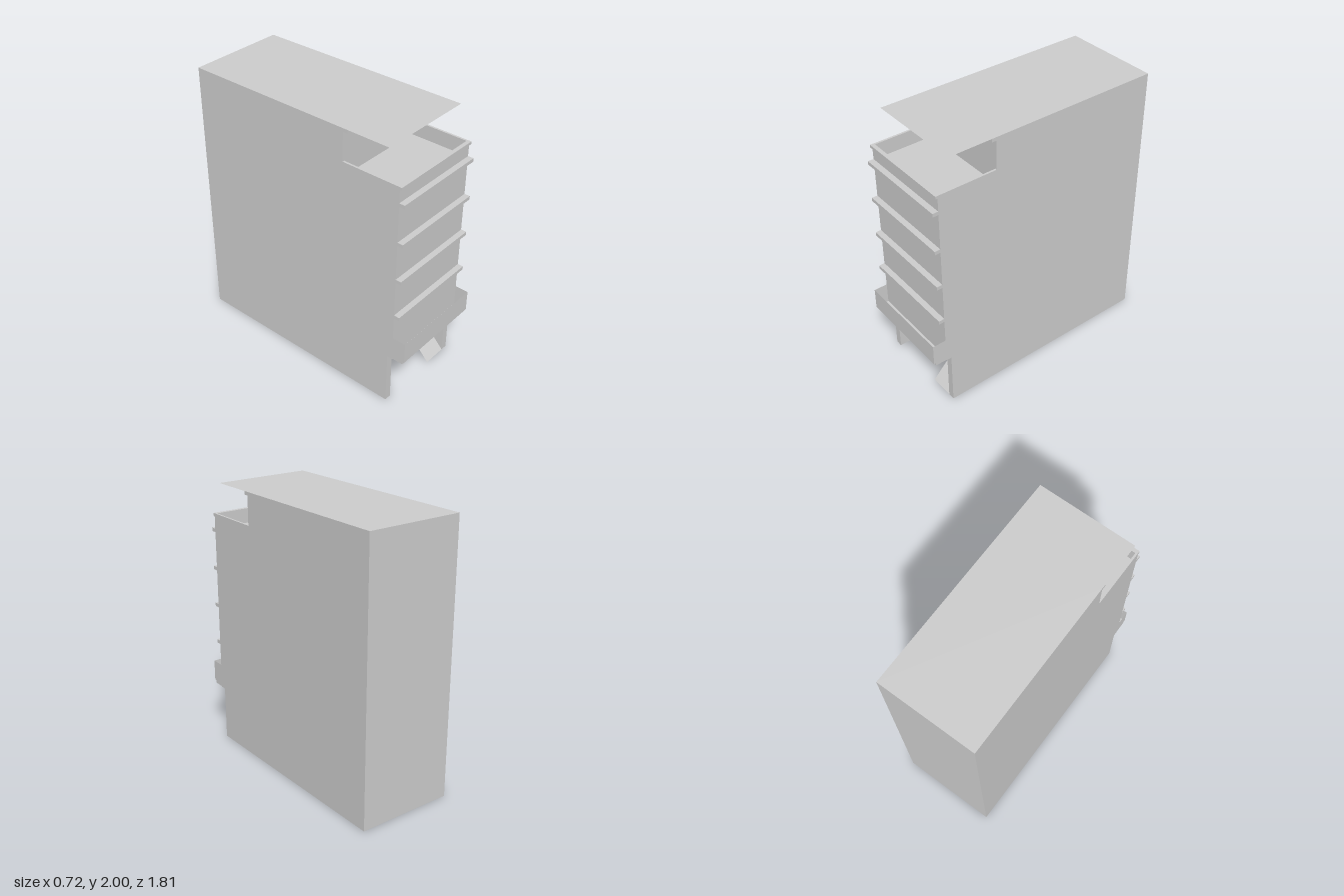
import * as THREE from 'three';

const W = 0.36; // half width of the building
const BACK = -0.905;

export function createModel() {
  const model = new THREE.Group();
  const grey = new THREE.MeshStandardMaterial({ color: 0xcccccc, flatShading: true });
  const thin = new THREE.MeshStandardMaterial({ color: 0xcccccc, flatShading: true, side: THREE.DoubleSide });

  // box from its limits along each axis
  function box(name, x0, x1, y0, y1, z0, z1) {
    const mesh = new THREE.Mesh(new THREE.BoxGeometry(x1 - x0, y1 - y0, z1 - z0), grey);
    mesh.position.set((x0 + x1) / 2, (y0 + y1) / 2, (z0 + z1) / 2);
    mesh.name = name;
    model.add(mesh);
  }

  // thin sheet: centre, size and tilt
  function sheet(name, w, h, position, rotation = [0, 0, 0]) {
    const mesh = new THREE.Mesh(new THREE.PlaneGeometry(w, h), thin);
    mesh.position.set(...position);
    mesh.rotation.set(...rotation);
    mesh.name = name;
    model.add(mesh);
  }

  // main volumes
  box('rearBlock', -W, W, 0, 2, BACK, 0.365);
  box('lowerRear', -W, W, 0, 0.405, 0.365, 0.415);
  box('frontBlock', -W, W, 0.405, 1.66, 0.365, 0.805);

  // ground floor: side walls, lowered front and entrance ramp
  for (const s of [-1, 1]) {
    box('groundSideWall', s < 0 ? -W : 0.31, s < 0 ? -0.31 : W, 0, 0.405, 0.415, 0.765);
  }
  box('shopFront', -0.31, 0.31, 0.17, 0.405, 0.415, 0.6);
  sheet('entranceRamp', 0.18, Math.hypot(0.17, 0.165), [0.22, 0.085, 0.6825],
    [-Math.atan2(0.165, 0.17), 0, 0]);

  // sign band, open at the top
  box('signBase', -W, W, 0.41, 0.432, 0.805, 0.89);
  sheet('signFront', 2 * W, 0.158, [0, 0.511, 0.905]);
  sheet('signUnderside', 2 * W, 0.015, [0, 0.432, 0.8975], [Math.PI / 2, 0, 0]);
  for (const s of [-1, 1]) {
    sheet('signEnd', 0.1, 0.158, [s * W, 0.511, 0.855], [0, Math.PI / 2, 0]);
  }

  // floor ledges
  for (const y of [0.76, 1.053, 1.34, 1.628]) box('ledge', -W, W, y, y + 0.026, 0.805, 0.847);

  // roof terrace parapet
  for (const s of [-1, 1]) {
    box('sideParapet', s < 0 ? -W : 0.345, s < 0 ? -0.345 : W, 1.66, 1.767, 0.365, 0.805);
  }
  box('frontParapet', -0.345, 0.345, 1.66, 1.767, 0.792, 0.805);
  box('parapetCap', -W, W, 1.747, 1.767, 0.805, 0.82);

  // roof edge beam and thin canopy over the terrace
  box('roofBeam', -W, W, 1.975, 2, 0.365, 0.4);
  sheet('canopy', 2 * W, 0.32, [0, 2, 0.56], [-Math.PI / 2, 0, 0]);

  return model;
}
